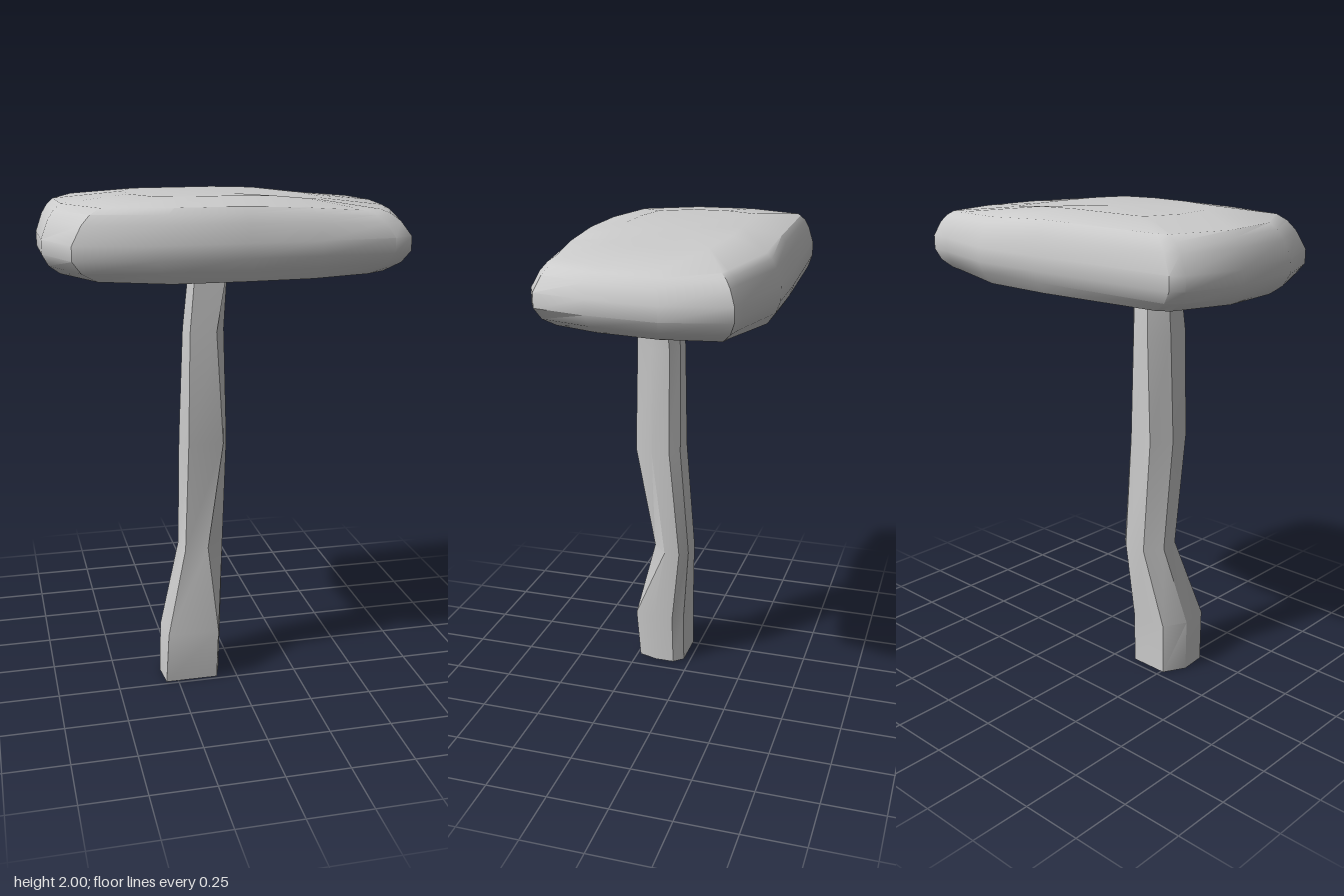
import * as THREE from 'three';
import { toCreasedNormals } from 'three/addons/utils/BufferGeometryUtils.js';

// Skins a stack of equal-length rings (bottom to top) and closes both ends.
function loft(rings, crease) {
  const n = rings[0].length;
  const pts = rings.flat();
  const index = [];
  for (let r = 0; r < rings.length - 1; r++) {
    for (let i = 0; i < n; i++) {
      const j = (i + 1) % n;
      const a = r * n + i, b = r * n + j, c = a + n, d = b + n;
      index.push(a, c, b, b, c, d);
    }
  }
  for (const r of [0, rings.length - 1]) {
    const centre = [0, 1, 2].map(k => rings[r].reduce((s, p) => s + p[k], 0) / n);
    const c = pts.push(centre) - 1;
    for (let i = 0; i < n; i++) {
      const a = r * n + i, b = r * n + (i + 1) % n;
      if (r === 0) index.push(c, a, b);
      else index.push(c, b, a);
    }
  }
  const geo = new THREE.BufferGeometry();
  geo.setAttribute('position', new THREE.Float32BufferAttribute(pts.flat(), 3));
  geo.setIndex(index);
  return toCreasedNormals(geo, crease);
}

// Head plan: widest x, z, then the inset x, z at the rim of the top face.
const PLAN = [
  [-0.73, -0.13, -0.66, -0.12], [-0.66, -0.36, -0.57, -0.34],
  [-0.62, -0.40, -0.52, -0.36], [0.00, -0.44, 0.00, -0.385],
  [0.30, -0.45, 0.28, -0.39], [0.58, -0.38, 0.56, -0.32],
  [0.67, -0.37, 0.61, -0.31], [0.73, -0.12, 0.64, -0.10],
  [0.70, 0.15, 0.61, 0.13], [0.65, 0.36, 0.54, 0.305],
  [0.57, 0.40, 0.47, 0.34], [0.28, 0.425, 0.25, 0.37],
  [0.00, 0.44, 0.00, 0.385], [-0.34, 0.44, -0.27, 0.385],
  [-0.64, 0.38, -0.53, 0.335], [-0.73, 0.15, -0.65, 0.12],
];

function headGeometry() {
  const lerp = THREE.MathUtils.lerp;
  // inset amount, height, scale towards the middle
  const profile = [
    [0.85, 1.682, 0.6], [0.85, 1.70, 1], [0.3, 1.745, 1], [0, 1.79, 1], [0, 1.845, 1],
    [0.35, 1.915, 1], [0.65, 1.95, 1], [1, 1.972, 1], [1, 1.998, 0.6],
  ];
  const rings = profile.map(([t, y, s]) => PLAN.map(([x0, z0, x1, z1]) => {
    const x = lerp(x0, x1, t) * s, z = lerp(z0, z1, t) * s;
    // the top sinks towards the +x end, the underside rises slightly at both ends
    const sink = 0.03 * THREE.MathUtils.smoothstep(x, 0.05, 0.5) * Math.max(0, (y - 1.85) / 0.13);
    const rise = y < 1.72 ? 0.012 * THREE.MathUtils.smoothstep(Math.abs(x), 0.3, 0.65) : 0;
    return [x, y - sink + rise, z];
  }));
  return loft(rings, 0.62);
}

// Handle sections: y, xMin, xMax, zMin, zMax, then front face left and right x.
const SECTIONS = [
  [0, -0.31, -0.06, 0.03, 0.235, -0.30, -0.085],
  [0.22, -0.305, -0.055, 0.03, 0.25, -0.29, -0.08],
  [0.56, -0.215, -0.03, 0.0, 0.165, -0.20, -0.105],
  [1.03, -0.215, -0.025, 0.035, 0.23, -0.195, -0.055],
  [1.48, -0.195, -0.035, 0.035, 0.225, -0.185, -0.08],
  [1.72, -0.17, -0.02, 0.057, 0.21, -0.16, -0.035],
];

function handleGeometry() {
  const rings = SECTIONS.map(([y, x0, x1, z0, z1, fl, fr]) => {
    const at = f => z0 + (z1 - z0) * f;
    return [
      [x0 + 0.05, y, z0], [x1 - 0.035, y, z0], [x1, y, at(0.2)],
      [x1, y, at(0.6)], [fr, y, z1], [fl, y, z1], [x0, y, at(0.45)],
    ];
  });
  return loft(rings, 0.6);
}

export function createModel() {
  const group = new THREE.Group();
  group.name = 'mallet';
  const material = new THREE.MeshStandardMaterial({ color: 0xcccccc });
  const head = new THREE.Mesh(headGeometry(), material);
  head.name = 'head';
  const handle = new THREE.Mesh(handleGeometry(), material);
  handle.name = 'handle';
  group.add(head, handle);
  return group;
}
